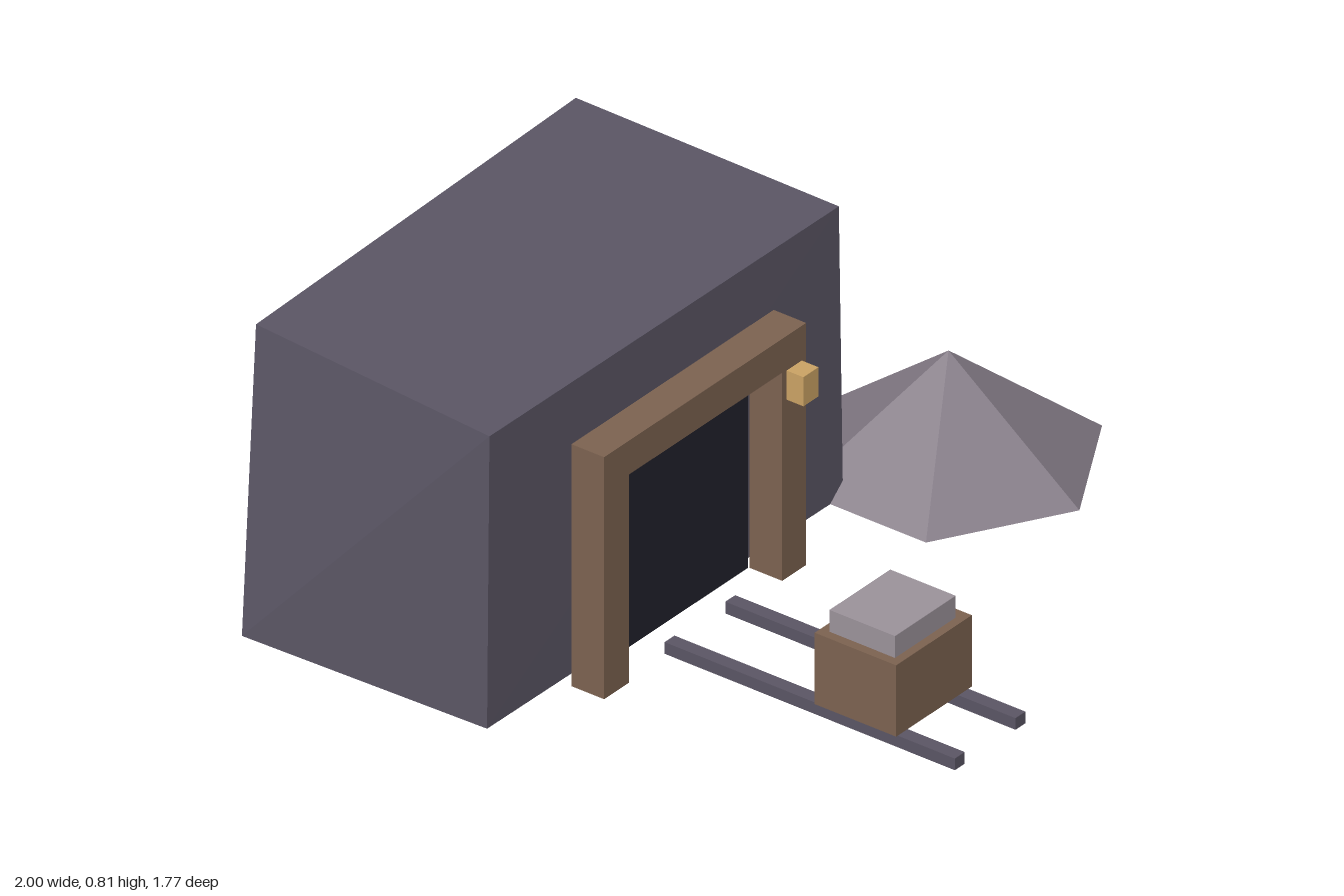
import * as THREE from 'three';

const mat = (name, color) => {
  const m = new THREE.MeshStandardMaterial({ color, flatShading: true });
  m.name = name;
  return m;
};

export function createModel() {
  const model = new THREE.Group();
  model.name = 'mineEntrance';

  const rock = mat('slateRock', 0x5a5564);
  const wood = mat('timber', 0x7c6250);
  const dark = mat('tunnelDark', 0x22222c);
  const rubble = mat('rubble', 0x807782);
  const ore = mat('ore', 0x9b929a);
  const lamp = mat('lampGlow', 0xcaa264);

  const add = (name, geometry, material) => {
    const mesh = new THREE.Mesh(geometry, material);
    mesh.name = name;
    model.add(mesh);
    return mesh;
  };

  // Box given by its extents along each axis
  const box = (name, material, [x0, x1], [y0, y1], [z0, z1]) => {
    const mesh = add(name, new THREE.BoxGeometry(x1 - x0, y1 - y0, z1 - z0), material);
    mesh.position.set((x0 + x1) / 2, (y0 + y1) / 2, (z0 + z1) / 2);
    return mesh;
  };

  // Hillside: a box with each corner nudged, keyed by right/top/front bits
  const corners = [
    [-1.0, 0, -0.815], [0.28, 0, -0.885],
    [-0.91, 0.803, -0.843], [0.355, 0.812, -0.873],
    [-0.98, 0, -0.1], [0.372, 0, -0.09],
    [-0.967, 0.796, -0.103], [0.36, 0.8, -0.093],
  ];
  const hill = new THREE.BoxGeometry(1, 1, 1);
  const p = hill.attributes.position;
  for (let i = 0; i < p.count; i++) {
    const key = (p.getX(i) > 0 ? 1 : 0) + (p.getY(i) > 0 ? 2 : 0) + (p.getZ(i) > 0 ? 4 : 0);
    p.setXYZ(i, ...corners[key]);
  }
  hill.computeVertexNormals();
  add('hillside', hill, rock);

  // Tunnel mouth and timber frame
  box('tunnelMouth', dark, [-0.61, -0.025], [0, 0.49], [-0.14, -0.065]);
  const depth = [-0.062, 0.035];
  box('rightPost', wood, [-0.705, -0.61], [0, 0.572], depth);
  box('leftPost', wood, [-0.022, 0.07], [0, 0.572], depth);
  box('lintel', wood, [-0.705, 0.07], [0.572, 0.665], depth);
  box('lantern', lamp, [-0.005, 0.053], [0.49, 0.57], [0.035, 0.085]);

  // Rails
  for (const x of [-0.435, -0.202]) {
    box('rail', rock, [x - 0.019, x + 0.019], [0, 0.032], [0.02, 0.885]);
  }

  // Mine cart with its load
  box('cart', wood, [-0.46, -0.17], [0.032, 0.228], [0.472, 0.715]);
  box('oreLoad', ore, [-0.435, -0.202], [0.228, 0.288], [0.497, 0.692]);

  // Spoil heap
  const heap = add('spoilHeap', new THREE.ConeGeometry(0.39, 0.295, 6), rubble);
  heap.position.set(0.661, 0.1475, 0);

  return model;
}
